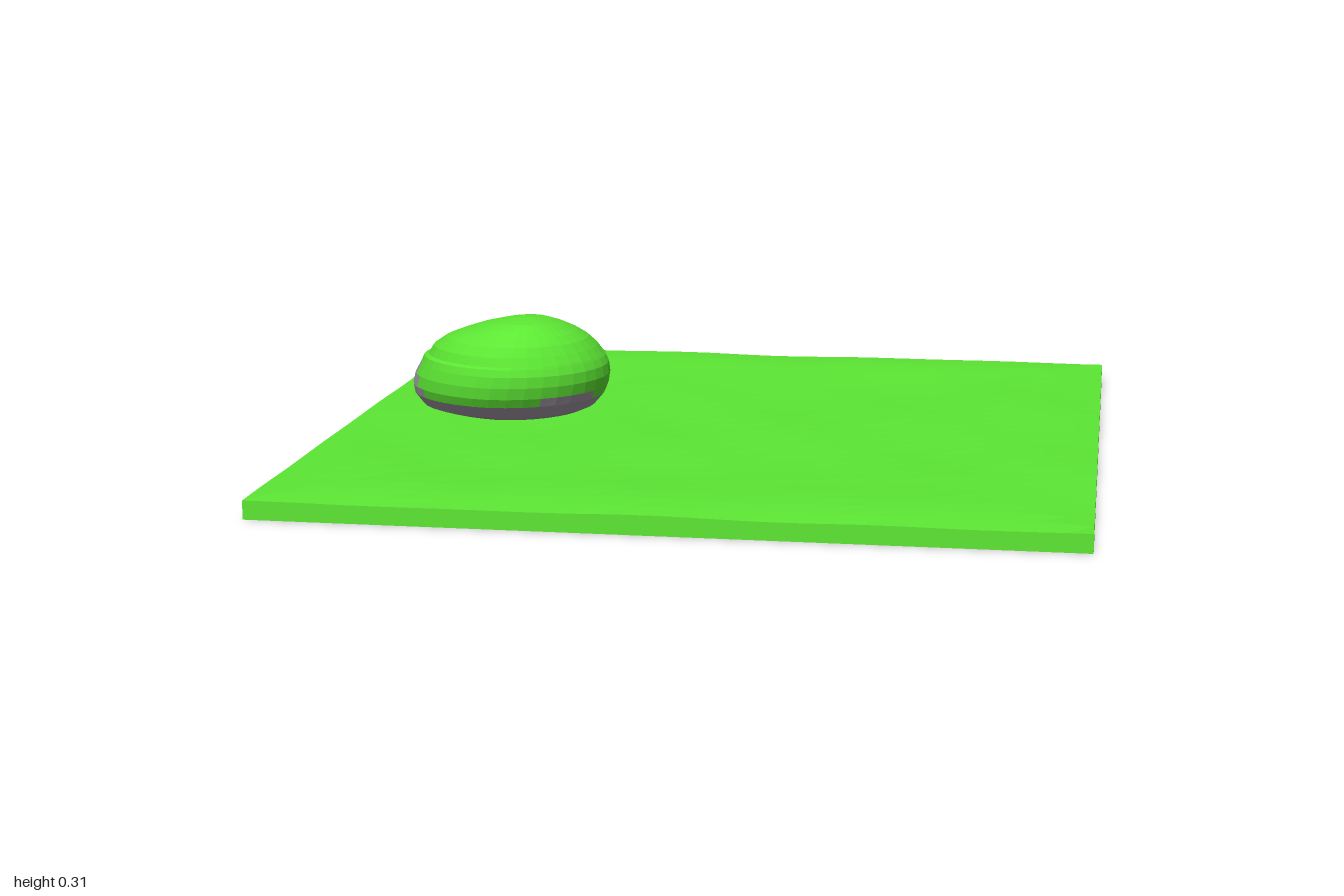
import * as THREE from 'three';

const grass = new THREE.MeshStandardMaterial({ name: 'grassGreen', color: 0x5de834, flatShading: true, side: THREE.DoubleSide });
const stone = new THREE.MeshStandardMaterial({ name: 'stoneGrey', color: 0xa59aa8, flatShading: true, side: THREE.DoubleSide });

// Gentle unevenness of the ground, falling off a little at the border
function groundHeight(x, z) {
  const border = Math.max(Math.abs(x), Math.abs(z));
  const waves = Math.sin(x * 7 + z * 2) * Math.cos(z * 6 - x * 2) + 0.5 * Math.sin(x * 13 - z * 11);
  const rise = 0.007 * Math.exp(-(((border - 0.82) / 0.16) ** 2));
  return 0.049 + 0.002 * waves + rise - 0.05 * Math.max(0, border - 0.9);
}

// Open-bottomed tile: the outermost grid ring folds straight down to y = 0
function makeGround() {
  const n = 32;
  const geo = new THREE.PlaneGeometry(2, 2, n, n).rotateX(-Math.PI / 2);
  const pos = geo.attributes.position;
  const coord = (i) => (THREE.MathUtils.clamp(i, 1, n - 1) - 1) / (n - 2) * 2 - 1;
  for (let k = 0; k < pos.count; k++) {
    const i = k % (n + 1), j = Math.floor(k / (n + 1));
    const x = coord(i), z = coord(j);
    const skirt = i === 0 || j === 0 || i === n || j === n;
    pos.setXYZ(k, x, skirt ? 0 : groundHeight(x, z), z);
  }
  geo.computeVertexNormals();
  const mesh = new THREE.Mesh(geo, grass);
  mesh.name = 'ground';
  return mesh;
}

// Boulder rings from the hollow underside to the top: y, xMin, xMax, zMin, zMax
const RINGS = [
  [0.058, -0.69, -0.50, -0.21, -0.07],
  [0.042, -0.74, -0.46, -0.28, 0.00],
  [0.042, -0.79, -0.43, -0.32, 0.04],
  [0.060, -0.865, -0.385, -0.37, 0.07],
  [0.093, -0.888, -0.357, -0.394, 0.103],
  [0.118, -0.89, -0.347, -0.40, 0.118],
  [0.150, -0.88, -0.34, -0.388, 0.125],
  [0.180, -0.862, -0.342, -0.372, 0.124],
  [0.200, -0.852, -0.350, -0.360, 0.118],
  [0.206, -0.838, -0.354, -0.348, 0.114],
  [0.230, -0.822, -0.37, -0.328, 0.104],
  [0.255, -0.785, -0.392, -0.288, 0.088],
  [0.275, -0.735, -0.42, -0.248, 0.068],
  [0.292, -0.685, -0.452, -0.205, 0.046],
  [0.305, -0.63, -0.488, -0.16, 0.016],
  [0.314, -0.575, -0.535, -0.10, -0.045],
];

function makeBoulder() {
  const seg = 36, points = [], mossIndex = [], stoneIndex = [];
  RINGS.forEach(([y, x0, x1, z0, z1]) => {
    for (let s = 0; s < seg; s++) {
      const a = s / seg * Math.PI * 2, c = Math.cos(a);
      const taper = 1 - 0.1 * Math.max(0, -c);
      points.push((x0 + x1) / 2 + (x1 - x0) / 2 * c, y,
        (z0 + z1) / 2 + (z1 - z0) / 2 * Math.sin(a) * taper);
    }
  });
  // Bare stone rings the foot, with a small patch in front and a tall one on the outer flank
  const edge = (a) => 0.085 + 0.1 * Math.max(0, -Math.cos(a)) ** 6 + 0.035 * Math.max(0, Math.cos(a - 0.7)) ** 8;
  for (let r = 0; r < RINGS.length - 1; r++) {
    const mid = (RINGS[r][0] + RINGS[r + 1][0]) / 2;
    for (let s = 0; s < seg; s++) {
      const t = (s + 1) % seg;
      const a = r * seg + s, b = r * seg + t, c = a + seg, d = b + seg;
      const target = mid < edge((s + 0.5) / seg * Math.PI * 2) ? stoneIndex : mossIndex;
      target.push(a, c, b, b, c, d);
    }
  }
  // Close the crown with a fan
  const last = (RINGS.length - 1) * seg;
  points.push(-0.555, 0.315, -0.073);
  for (let s = 0; s < seg; s++) mossIndex.push(last + s, last + seg, last + (s + 1) % seg);

  const group = new THREE.Group();
  group.name = 'boulder';
  [['mossCover', mossIndex, grass], ['bareStone', stoneIndex, stone]].forEach(([name, index, material]) => {
    const geo = new THREE.BufferGeometry();
    geo.setAttribute('position', new THREE.Float32BufferAttribute(points, 3));
    geo.setIndex(index);
    geo.computeVertexNormals();
    const mesh = new THREE.Mesh(geo, material);
    mesh.name = name;
    group.add(mesh);
  });
  return group;
}

export function createModel() {
  const model = new THREE.Group();
  model.name = 'mossyBoulderTile';
  model.add(makeGround(), makeBoulder());
  return model;
}
